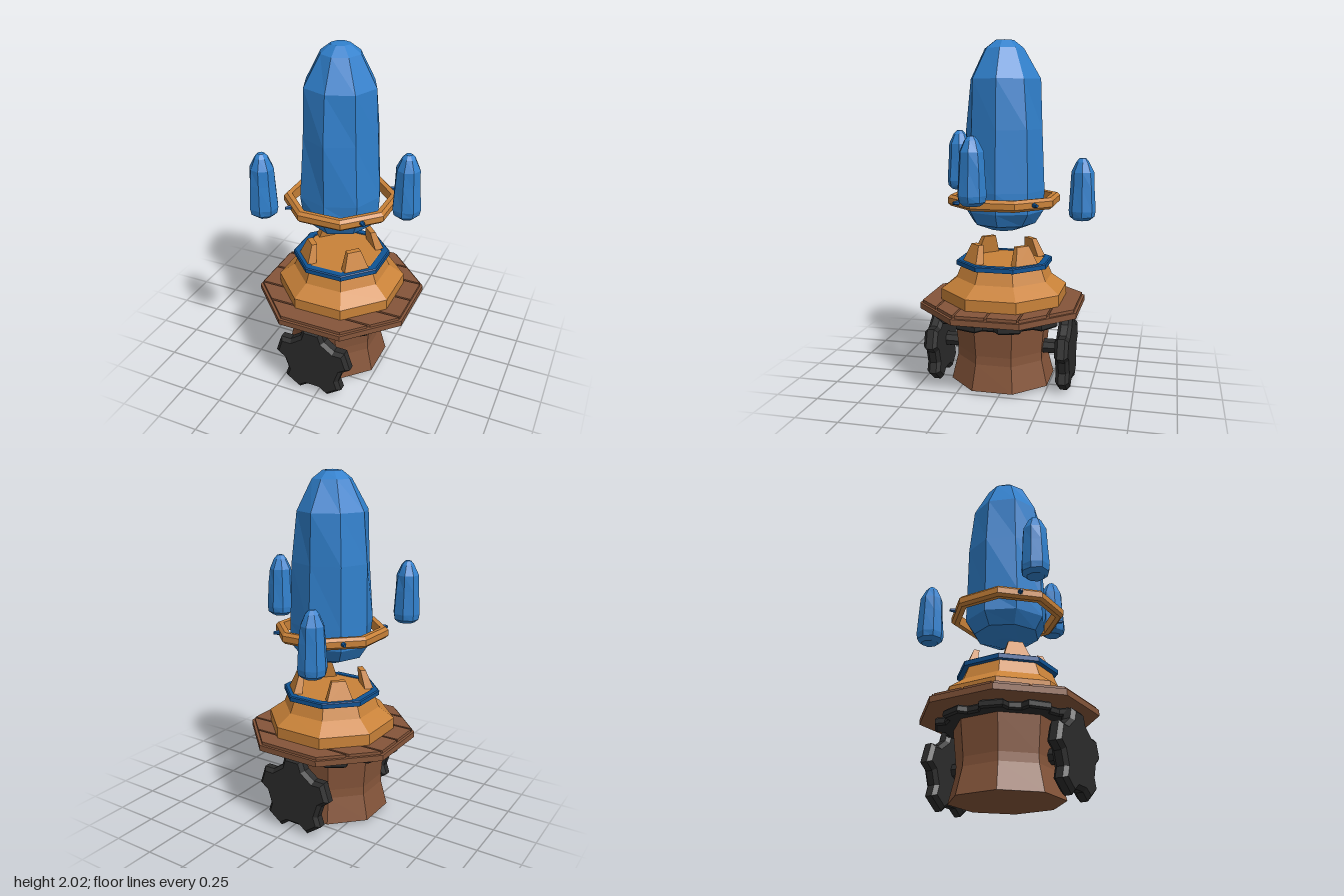
import * as THREE from 'three';

const mat = (name, color) => {
  const m = new THREE.MeshStandardMaterial({ color });
  m.name = name;
  return m;
};

export function createModel() {
  const crystalBlue = mat('crystal blue', 0x3080cc);
  const deepBlue = mat('deep blue', 0x0f5394);
  const gold = mat('gold', 0xc98239);
  const brown = mat('wood brown', 0x85553a);
  const iron = mat('dark iron', 0x2b2b2b);

  const model = new THREE.Group();
  model.name = 'crystalTower';
  const CX = -0.025, CZ = 0.025;

  // Faceted mesh with one normal per face
  const add = (name, geo, material, x = CX, y = 0, z = CZ) => {
    const flat = geo.index ? geo.toNonIndexed() : geo;
    flat.computeVertexNormals();
    const mesh = new THREE.Mesh(flat, material);
    mesh.name = name;
    mesh.position.set(x, y, z);
    model.add(mesh);
    return mesh;
  };

  // Eight-sided solid with flats facing the axes; radii are to the flats
  const octagon = (profile) => new THREE.LatheGeometry(
    profile.map(([r, y]) => new THREE.Vector2(r / Math.cos(Math.PI / 8), y)), 8, Math.PI / 8);

  // Toothed wheel with bevelled rims, centred on its thickness
  const gear = (teeth, root, tip, rootHalf, tipHalf, thick, bevel) => {
    const pts = [];
    for (let i = 0; i < teeth; i++) {
      const a = Math.PI / 2 + (i / teeth) * Math.PI * 2;
      for (const [r, d] of [[root, -rootHalf], [tip, -tipHalf], [tip, tipHalf], [root, rootHalf]])
        pts.push(new THREE.Vector2(Math.cos(a + d) * (r - bevel), Math.sin(a + d) * (r - bevel)));
    }
    const depth = thick - 2 * bevel;
    return new THREE.ExtrudeGeometry(new THREE.Shape(pts), {
      depth, bevelEnabled: true, bevelThickness: bevel, bevelSize: bevel, bevelSegments: 1,
    }).translate(0, 0, -depth / 2);
  };

  // Rough-cut crystal: eight-sided lathe with slightly uneven facets
  const crystal = (profile, turn, rough) => {
    const geo = new THREE.LatheGeometry(profile.map(([r, y]) => new THREE.Vector2(r, y)), 8, turn);
    const p = geo.attributes.position;
    const R = Math.max(...profile.map((q) => q[0]));
    for (let i = 0; i < p.count; i++) {
      const x = p.getX(i), y = p.getY(i), z = p.getZ(i);
      const k = 1 + rough * Math.sin((x / R) * 4 + (z / R) * 2.5 + (y / R) * 3);
      p.setXYZ(i, x * k, y, z * k);
    }
    return geo;
  };

  // Flared wooden trunk
  add('trunk', octagon([[0, 0], [0.29, 0], [0.255, 0.15], [0.253, 0.2], [0.272, 0.4], [0, 0.4]]), brown, -0.055, 0, 0.04);

  // Gears and axles
  add('turntableGear', gear(10, 0.36, 0.405, 0.21, 0.14, 0.045, 0.01).rotateX(Math.PI / 2), iron, -0.02, 0.42, 0.035);
  add('turntableHub', new THREE.CylinderGeometry(0.2, 0.2, 0.04, 8), iron, CX, 0.445, CZ);
  for (const [name, z] of [['frontGear', 0.425], ['backGear', -0.35]])
    add(name, gear(5, 0.19, 0.236, 0.36, 0.2, 0.08, 0.02), iron, -0.027, 0.205, z);
  add('axle', new THREE.CylinderGeometry(0.045, 0.045, 0.74, 8).rotateX(Math.PI / 2), iron, -0.027, 0.215, 0.037);

  // Platform slab with planks running left to right
  const PZ = 0.03;
  add('platform', octagon([[0, 0.455], [0.46, 0.455], [0.46, 0.488], [0, 0.488]]), brown, CX, 0, PZ);
  const A = 0.445;
  const halfWidth = (z) => Math.min(A, A * Math.SQRT2 - Math.abs(z));
  for (const [z0, z1] of [[-A, -0.326], [-0.314, -0.186], [-0.174, -0.006], [0.006, 0.174], [0.186, 0.314], [0.326, A]]) {
    const plank = new THREE.Shape([[-halfWidth(z0), z0], [halfWidth(z0), z0], [halfWidth(z1), z1], [-halfWidth(z1), z1]]
      .map(([x, z]) => new THREE.Vector2(x, z)));
    add('plank', new THREE.ExtrudeGeometry(plank, { depth: 0.017, bevelEnabled: false }).rotateX(Math.PI / 2),
      brown, CX, 0.505, PZ);
  }

  // Stepped gold pedestal and blue collar
  add('pedestal', octagon([[0, 0.503], [0.348, 0.503], [0.348, 0.57], [0.265, 0.635], [0.23, 0.73], [0.215, 0.737], [0, 0.737]]), gold);
  add('collar', octagon([[0.21, 0.71], [0.265, 0.71], [0.265, 0.735], [0.258, 0.74], [0.222, 0.74], [0.21, 0.71]]), deepBlue);

  // Four tapered prongs on the diagonals
  for (let i = 0; i < 4; i++) {
    const geo = new THREE.BoxGeometry(1, 0.12, 1);
    const p = geo.attributes.position;
    for (let j = 0; j < p.count; j++) {
      const top = p.getY(j) > 0, outer = p.getZ(j) > 0;
      p.setX(j, p.getX(j) * (top ? 0.08 : 0.16));
      p.setZ(j, top ? (outer ? 0.2 : 0.168) : (outer ? 0.245 : 0.19));
    }
    add('prong', geo.rotateY(Math.PI / 4 + i * Math.PI / 2), gold, CX, 0.782, CZ);
  }

  // Floating gold ring with blue studs
  add('floatingRing', octagon([[0.262, 1.062], [0.29, 1.06], [0.306, 1.075], [0.306, 1.108], [0.29, 1.125], [0.262, 1.122], [0.262, 1.062]]), gold);
  for (let i = 0; i < 4; i++) {
    const a = Math.PI / 4 + i * Math.PI / 2;
    add('ringStud', new THREE.CylinderGeometry(0.009, 0.016, 0.04, 6).rotateX(Math.PI / 2).rotateY(a), deepBlue,
      CX + Math.sin(a) * 0.318, 1.093, CZ + Math.cos(a) * 0.318);
  }

  // Large central crystal
  add('mainCrystal', crystal([[0, 0.91], [0.08, 0.915], [0.185, 0.955], [0.235, 1.03], [0.24, 1.15], [0.225, 1.5],
    [0.205, 1.78], [0.115, 1.95], [0.055, 1.995], [0, 2]], 0, 0.03), crystalBlue, -0.028, 0, 0.025);

  // Three small crystals in orbit
  const shard = [[0, 0], [0.05, 0.004], [0.076, 0.025], [0.082, 0.06], [0.073, 0.2], [0.066, 0.29], [0.038, 0.35], [0.018, 0.372], [0, 0.374]];
  for (const [x, y, z, turn] of [[-0.326, 1.1, 0.385, 0.2], [0.395, 1.108, 0.104, 0], [-0.187, 0.953, -0.41, 0.1]])
    add('smallCrystal', crystal(shard, turn, 0.03), crystalBlue, x, y, z);

  return model;
}
